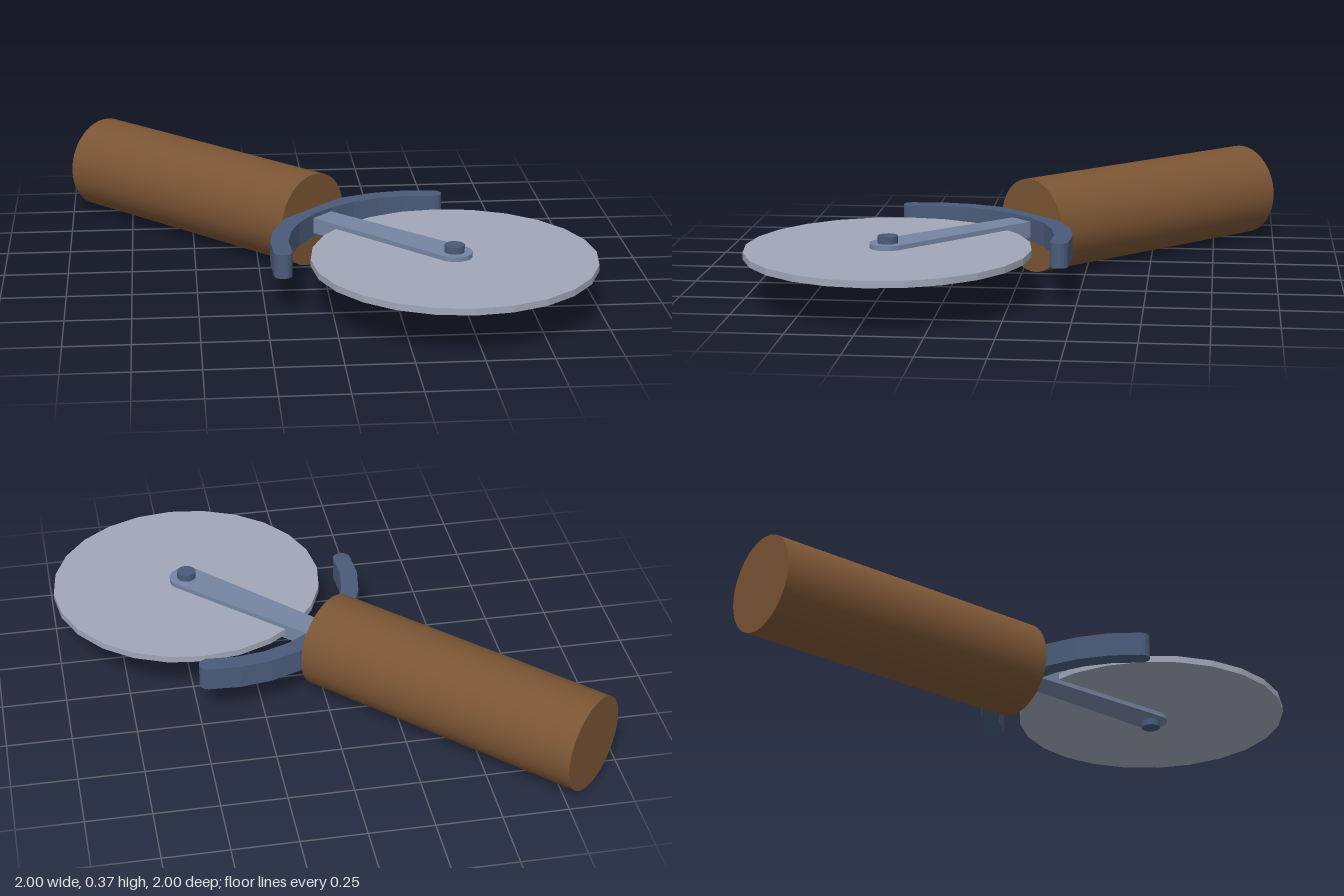
import * as THREE from 'three';

const mat = (name, color) => new THREE.MeshStandardMaterial({ name, color });

export function createModel() {
  const wood = mat('wood', 0x7b5534);
  const steel = mat('blade steel', 0xa0a7b7);
  const armSteel = mat('arm steel', 0x7586a3);
  const darkSteel = mat('dark steel', 0x4a5b79);

  const model = new THREE.Group();
  model.name = 'rotaryCutter';
  // The tool lies flat along its local x axis, turned onto the diagonal
  const tool = new THREE.Group();
  tool.name = 'tool';
  tool.rotation.y = -Math.PI / 4;
  tool.position.y = 0.19;
  model.add(tool);

  const add = (name, geometry, material, x = 0) => {
    const mesh = new THREE.Mesh(geometry, material);
    mesh.name = name;
    mesh.position.x = x;
    tool.add(mesh);
  };
  // Flat plate of a given thickness, centred on the tool's mid plane
  const plate = (shape, thickness) =>
    new THREE.ExtrudeGeometry(shape, { depth: thickness, bevelEnabled: false, curveSegments: 12 })
      .translate(0, 0, -thickness / 2).rotateX(-Math.PI / 2);

  const pivotX = 0.65;

  // Wooden handle
  add('handle', new THREE.CylinderGeometry(0.186, 0.186, 1.178, 48).rotateZ(Math.PI / 2), wood, -0.639);

  // Cutting disc
  add('blade', new THREE.CylinderGeometry(0.54, 0.54, 0.026, 24).toNonIndexed(), steel, pivotX);
  const disc = tool.children.at(-1).geometry;
  disc.computeVertexNormals();

  // Tapered arm with a round tip
  const arm = new THREE.Shape();
  arm.moveTo(-0.03, -0.053);
  arm.lineTo(pivotX, -0.068);
  arm.absarc(pivotX, 0, 0.068, -Math.PI / 2, Math.PI / 2, false);
  arm.lineTo(-0.03, 0.053);
  arm.closePath();
  add('arm', plate(arm, 0.062), armSteel);

  // Pivot pin
  add('pivotPin', new THREE.CylinderGeometry(0.038, 0.038, 0.116, 24), darkSteel, pivotX);

  // Curved finger guard with rounded ends
  const cx = 0.523, radius = 0.56, half = 0.035, sweep = 0.948, segments = 9;
  const points = [];
  const at = (r, a) => points.push(new THREE.Vector2(cx + r * Math.cos(a), r * Math.sin(a)));
  const cap = (a, start) => {
    for (let i = 1; i < 8; i++) {
      const t = start + (i * Math.PI) / 8;
      points.push(new THREE.Vector2(
        cx + radius * Math.cos(a) + half * Math.cos(t),
        radius * Math.sin(a) + half * Math.sin(t)));
    }
  };
  const a0 = Math.PI - sweep, a1 = Math.PI + sweep;
  for (let i = 0; i <= segments; i++) at(radius + half, a0 + (2 * sweep * i) / segments);
  cap(a1, a1);
  for (let i = segments; i >= 0; i--) at(radius - half, a0 + (2 * sweep * i) / segments);
  cap(a0, a0 + Math.PI);
  add('fingerGuard', plate(new THREE.Shape(points), 0.094), darkSteel);

  return model;
}
